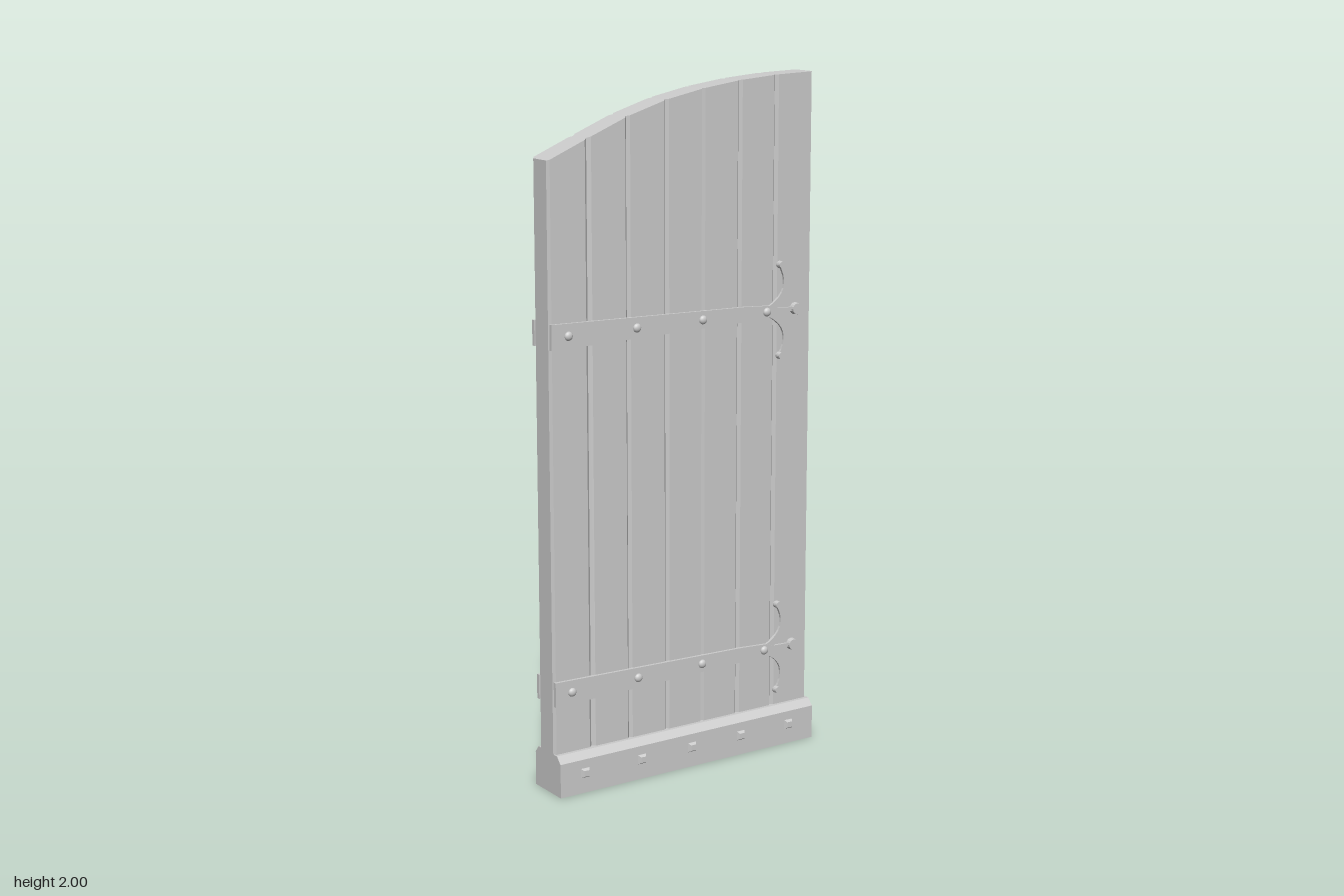
import * as THREE from 'three';

const material = new THREE.MeshStandardMaterial({ color: 0xcccccc, flatShading: true });
const smooth = new THREE.MeshStandardMaterial({ color: 0xcccccc });
const FRONT = 0.038, BACK = -0.046;

function add(parent, name, geometry, x = 0, y = 0, z = 0, mat = material) {
  const mesh = new THREE.Mesh(geometry, mat);
  mesh.name = name;
  mesh.position.set(x, y, z);
  parent.add(mesh);
  return mesh;
}

const polygon = (points) => new THREE.Shape(points.map(([x, y]) => new THREE.Vector2(x, y)));
const extrude = (shape, depth) =>
  new THREE.ExtrudeGeometry(shape, { depth, bevelEnabled: false, curveSegments: 10 });

// Vertical plank with chamfered edges and a sloping top
function plankGeometry(x0, x1, y0, y1, c0, c1) {
  const d = 0.009;
  const shape = polygon([
    [x0, BACK + d], [x0 + c0, BACK], [x1 - c1, BACK], [x1, BACK + d],
    [x1, FRONT - d], [x1 - c1, FRONT], [x0 + c0, FRONT], [x0, FRONT - d],
  ].map(([x, z]) => [x, -z]).reverse());
  const g = extrude(shape, 1).rotateX(-Math.PI / 2);
  const p = g.attributes.position;
  for (let i = 0; i < p.count; i++) {
    const t = (p.getX(i) - x0) / (x1 - x0);
    p.setY(i, p.getY(i) > 0.5 ? y0 + (y1 - y0) * t : 0.02);
  }
  g.computeVertexNormals();
  return g;
}

// Hinge strap lying on z = 0, symmetric about y = 0
function createStrap() {
  const strap = new THREE.Group();
  strap.name = 'hingeStrap';
  const t = 0.009, sink = -0.002;
  add(strap, 'strapPlate', extrude(polygon([
    [-0.445, -0.036], [0.2, -0.022], [0.29, -0.017], [0.31, -0.009],
    [0.31, 0.009], [0.29, 0.017], [0.2, 0.022], [-0.445, 0.036],
  ]), t - sink), 0, 0, sink);

  // Middle prong with a round tip
  add(strap, 'middleProng', extrude(polygon([
    [0.29, -0.009], [0.385, -0.005], [0.385, 0.005], [0.29, 0.009],
  ]), t - sink - 0.001), 0, 0, sink);
  const disc = (name, x, y, r) =>
    add(strap, name, new THREE.CylinderGeometry(r * 0.9, r, 0.017, 16).rotateX(Math.PI / 2), x, y, 0.0065);
  disc('prongTip', 0.385, 0, 0.018);

  // Crescent curls above and below
  for (const s of [1, -1]) {
    const curl = new THREE.Shape();
    curl.moveTo(0.3, -0.002 * s);
    curl.quadraticCurveTo(0.405, 0.05 * s, 0.333, 0.135 * s);
    curl.lineTo(0.325, 0.13 * s);
    curl.quadraticCurveTo(0.372, 0.055 * s, 0.285, 0.014 * s);
    add(strap, 'curl', extrude(curl, t - sink - 0.002), 0, 0, sink);
    disc('curlTip', 0.329, 0.133 * s, 0.011);
  }

  // Domed rivets
  for (const x of [-0.391, -0.168, 0.055, 0.279]) {
    const dome = new THREE.SphereGeometry(0.013, 14, 6, 0, Math.PI * 2, 0, Math.PI / 2)
      .rotateX(Math.PI / 2).scale(1, 1, 0.7);
    add(strap, 'rivet', dome, x, 0, t, smooth);
  }
  return strap;
}

export function createModel() {
  const door = new THREE.Group();
  door.name = 'door';

  // Planks: edge position, top height, chamfer width
  const edges = [
    [-0.445, 1.8, 0.006], [-0.318, 1.853, 0.01], [-0.19, 1.905, 0.008], [-0.062, 1.944, 0.008],
    [0.062, 1.969, 0.006], [0.187, 1.986, 0.008], [0.313, 1.996, 0.008], [0.443, 2, 0.006],
  ];
  for (let i = 0; i < edges.length - 1; i++) {
    const [x0, y0, c0] = edges[i], [x1, y1, c1] = edges[i + 1];
    add(door, 'plank', plankGeometry(x0, x1, y0, y1, c0, c1));
  }

  // Kick board with chamfered top edges
  const board = extrude(polygon([
    [-0.068, 0], [0.068, 0], [0.068, 0.1], [0.049, 0.12], [-0.051, 0.12], [-0.068, 0.1],
  ]), 0.89).rotateY(-Math.PI / 2).translate(0.445, 0, 0);
  add(door, 'kickBoard', board);

  // Square studs on both faces of the kick board
  for (const s of [1, -1]) {
    for (const x of [-0.363, -0.17, 0.005, 0.18, 0.355]) {
      const stud = new THREE.CylinderGeometry(0.012, 0.021, 0.01, 4)
        .rotateY(Math.PI / 4).rotateX(s * Math.PI / 2);
      add(door, 'stud', stud, x, 0.06, s * 0.0715);
    }
  }

  // Hinge straps on both faces
  for (const y of [0.3, 1.32]) {
    const front = createStrap();
    front.position.set(0, y, FRONT);
    const back = createStrap();
    back.position.set(0, y, BACK);
    back.rotation.x = Math.PI;
    door.add(front, back);
  }
  return door;
}
